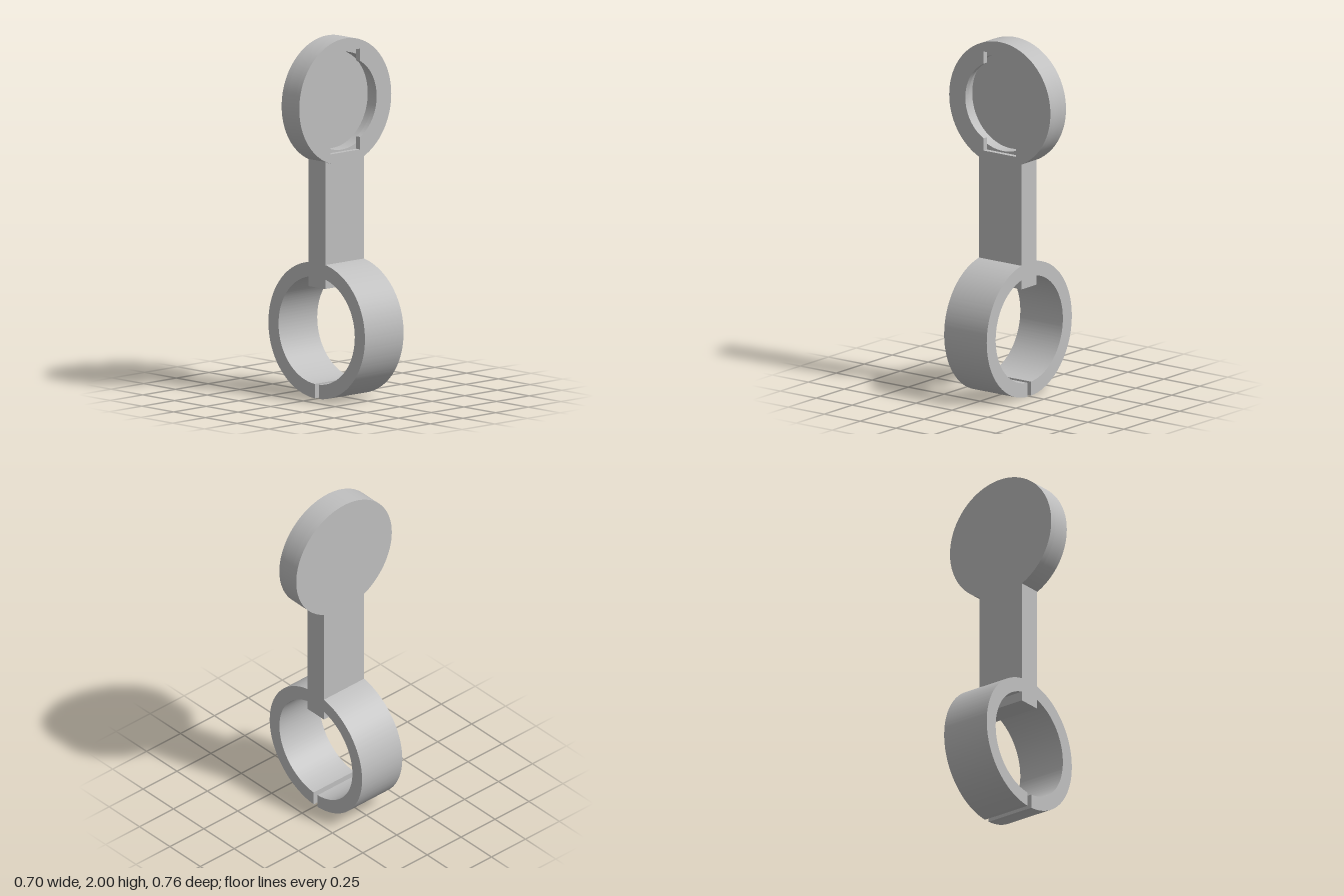
import * as THREE from 'three';
import { toCreasedNormals } from 'three/addons/utils/BufferGeometryUtils.js';

const grey = new THREE.MeshStandardMaterial({ color: 0xbfbfbf });
grey.name = 'grey plastic';

function extrude(name, shape, depth) {
  const geo = new THREE.ExtrudeGeometry(shape, { depth, bevelEnabled: false, curveSegments: 64 });
  const mesh = new THREE.Mesh(toCreasedNormals(geo, 0.5), grey);
  mesh.name = name;
  return mesh;
}

// Split clamp ring with the stem growing out of its top, as one side profile
function clampProfile() {
  const R = 0.38, r = 0.3, cy = 0.38;
  const front = -0.068, back = 0.066, gapFront = -0.018, gapBack = 0.015;
  const at = (x, radius, up) => Math.atan2(up * Math.sqrt(radius * radius - x * x), x);
  const s = new THREE.Shape();
  s.absarc(0, cy, R, at(gapBack, R, -1), at(back, R, 1), false);
  s.lineTo(back, 1.332);
  s.lineTo(front, 1.332);
  s.absarc(0, cy, R, at(front, R, 1), at(gapFront, R, -1) + Math.PI * 2, false);
  s.absarc(0, cy, r, at(gapFront, r, -1) + Math.PI * 2, at(front, r, 1), true);
  s.lineTo(front, 0.62);
  s.lineTo(back, 0.62);
  s.absarc(0, cy, r, at(back, r, 1), at(gapBack, r, -1), true);
  s.closePath();
  return s;
}

function disc(hole) {
  const s = new THREE.Shape();
  s.absarc(0, 0, 0.352, 0, Math.PI * 2, false);
  if (hole) s.holes.push(hole);
  return s;
}

// Round opening with a square notch above and below
function keyhole() {
  const r = 0.24, w = 0.113, h = 0.281, a = Math.acos(w / r);
  const p = new THREE.Path();
  p.absarc(0, 0, r, -a, a, false);
  p.lineTo(w, h);
  p.lineTo(-w, h);
  p.absarc(0, 0, r, Math.PI - a, Math.PI + a, false);
  p.lineTo(-w, -h);
  p.lineTo(w, -h);
  p.closePath();
  return p;
}

export function createModel() {
  const model = new THREE.Group();
  model.name = 'clampHolder';

  const clamp = extrude('clampAndStem', clampProfile(), 0.296);
  clamp.rotation.y = Math.PI / 2;
  clamp.position.x = -0.148;
  model.add(clamp);

  // Round head: closed back, wider cavity, then a notched lip
  const head = new THREE.Group();
  head.name = 'head';
  head.position.y = 1.648;
  const cavity = new THREE.Path();
  cavity.absarc(0, 0, 0.272, 0, Math.PI * 2, true);
  const layers = [
    ['headBack', disc(), -0.066, -0.03],
    ['headCavityWall', disc(cavity), -0.03, 0.043],
    ['headLip', disc(keyhole()), 0.043, 0.073],
  ];
  for (const [name, shape, z0, z1] of layers) {
    const layer = extrude(name, shape, z1 - z0);
    layer.position.z = z0;
    head.add(layer);
  }
  model.add(head);
  return model;
}
